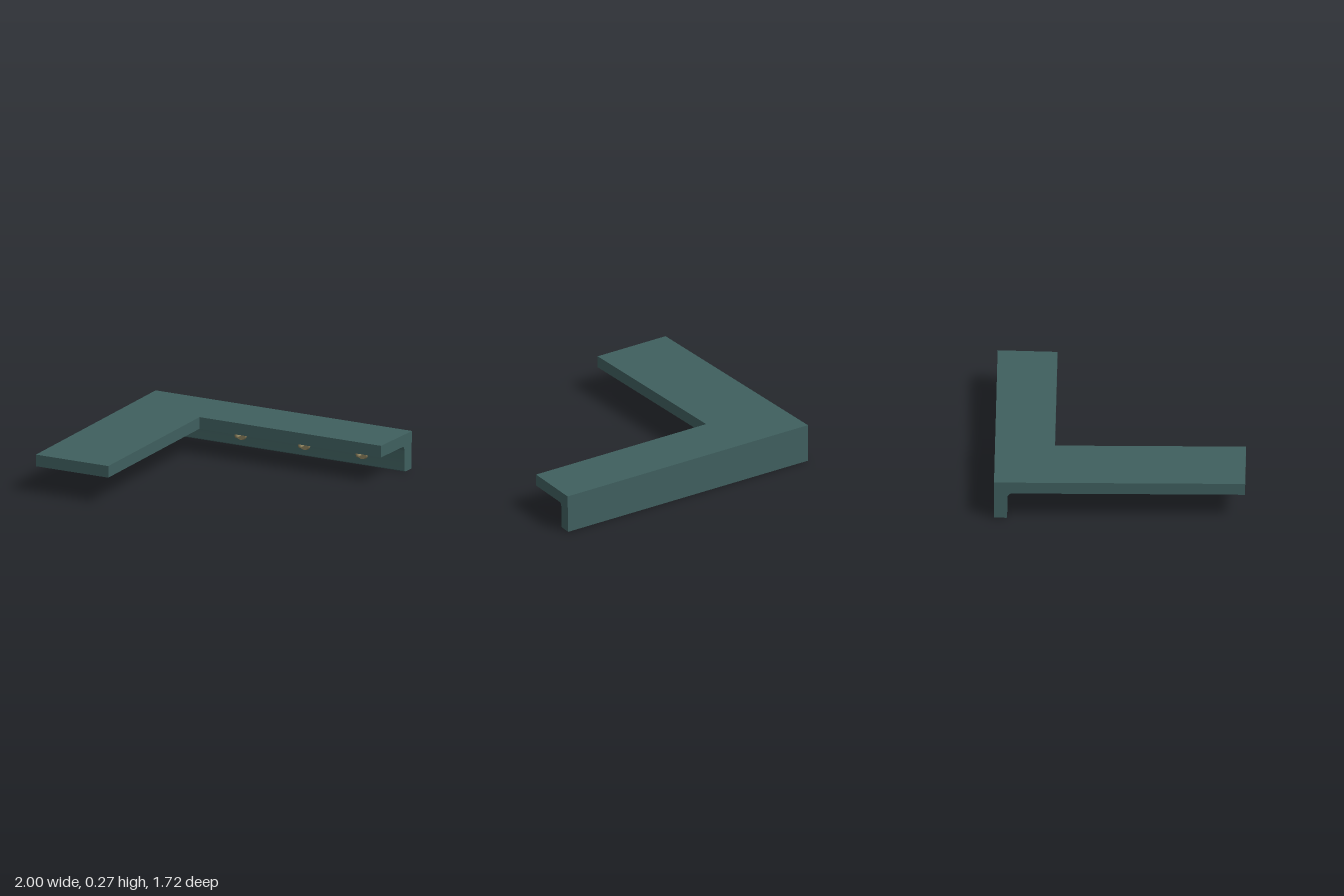
import * as THREE from 'three';
import { toCreasedNormals } from 'three/addons/utils/BufferGeometryUtils.js';

const paint = new THREE.MeshStandardMaterial({ color: 0x3f5f5e });
const brass = new THREE.MeshStandardMaterial({ color: 0x8a7f5c });

function add(parent, name, geometry, material) {
  const mesh = new THREE.Mesh(geometry, material);
  mesh.name = name;
  parent.add(mesh);
  return mesh;
}

// Coat hook: round wall plate, bent arm and a flattened knob
function makeHook() {
  const hook = new THREE.Group();
  hook.name = 'hook';
  const plate = new THREE.CylinderGeometry(0.036, 0.041, 0.018, 32).rotateX(Math.PI / 2);
  add(hook, 'hookPlate', plate, brass).position.z = 0.009;

  const path = new THREE.CurvePath();
  const v = (y, z) => new THREE.Vector3(0, y, z);
  path.add(new THREE.LineCurve3(v(0, 0), v(0, 0.065)));
  path.add(new THREE.QuadraticBezierCurve3(v(0, 0.065), v(0, 0.083), v(0.018, 0.083)));
  path.add(new THREE.LineCurve3(v(0.018, 0.083), v(0.05, 0.083)));
  add(hook, 'hookArm', new THREE.TubeGeometry(path, 32, 0.01, 12), brass);

  const knob = add(hook, 'hookKnob', new THREE.SphereGeometry(0.021, 24, 16), brass);
  knob.position.set(0, 0.053, 0.083);
  knob.scale.y = 0.8;
  return hook;
}

export function createModel() {
  const model = new THREE.Group();
  model.name = 'cornerShelf';

  // L-shaped shelf board with a slightly skewed end, drawn as (x, -z)
  const board = new THREE.Shape([
    [-1, -0.86], [-0.435, -0.86], [-0.435, 0.45], [0.98, 0.45], [1, 0.86], [-1, 0.86],
  ].map(([x, y]) => new THREE.Vector2(x, y)));
  const boardGeo = new THREE.ExtrudeGeometry(board, { depth: 0.083, bevelEnabled: false });
  boardGeo.rotateX(-Math.PI / 2).translate(0, 0.187, 0);
  add(model, 'shelfBoard', boardGeo, paint);

  // Back rail with a cove under the shelf, drawn as (-z, y) and run along x
  const rail = new THREE.Shape();
  rail.moveTo(0.86, 0);
  rail.lineTo(0.86, 0.187);
  rail.lineTo(0.735, 0.187);
  rail.quadraticCurveTo(0.77, 0.185, 0.77, 0.14);
  rail.lineTo(0.77, 0.006);
  rail.lineTo(0.764 + 0.012, 0);
  rail.closePath();
  const railGeo = new THREE.ExtrudeGeometry(rail, { depth: 2, bevelEnabled: false, curveSegments: 10 });
  railGeo.rotateY(Math.PI / 2).translate(-1, 0, 0);
  // Skew the far end to follow the board
  const p = railGeo.attributes.position;
  for (let i = 0; i < p.count; i++) {
    if (p.getX(i) > 0) p.setX(i, 0.995 + (p.getZ(i) + 0.86) * -0.06);
  }
  add(model, 'backRail', toCreasedNormals(railGeo, 0.5), paint);

  // Row of hooks
  for (const x of [-0.7, -0.28, 0.215, 0.665]) {
    const hook = makeHook();
    hook.position.set(x, 0.085, -0.77);
    model.add(hook);
  }
  return model;
}
